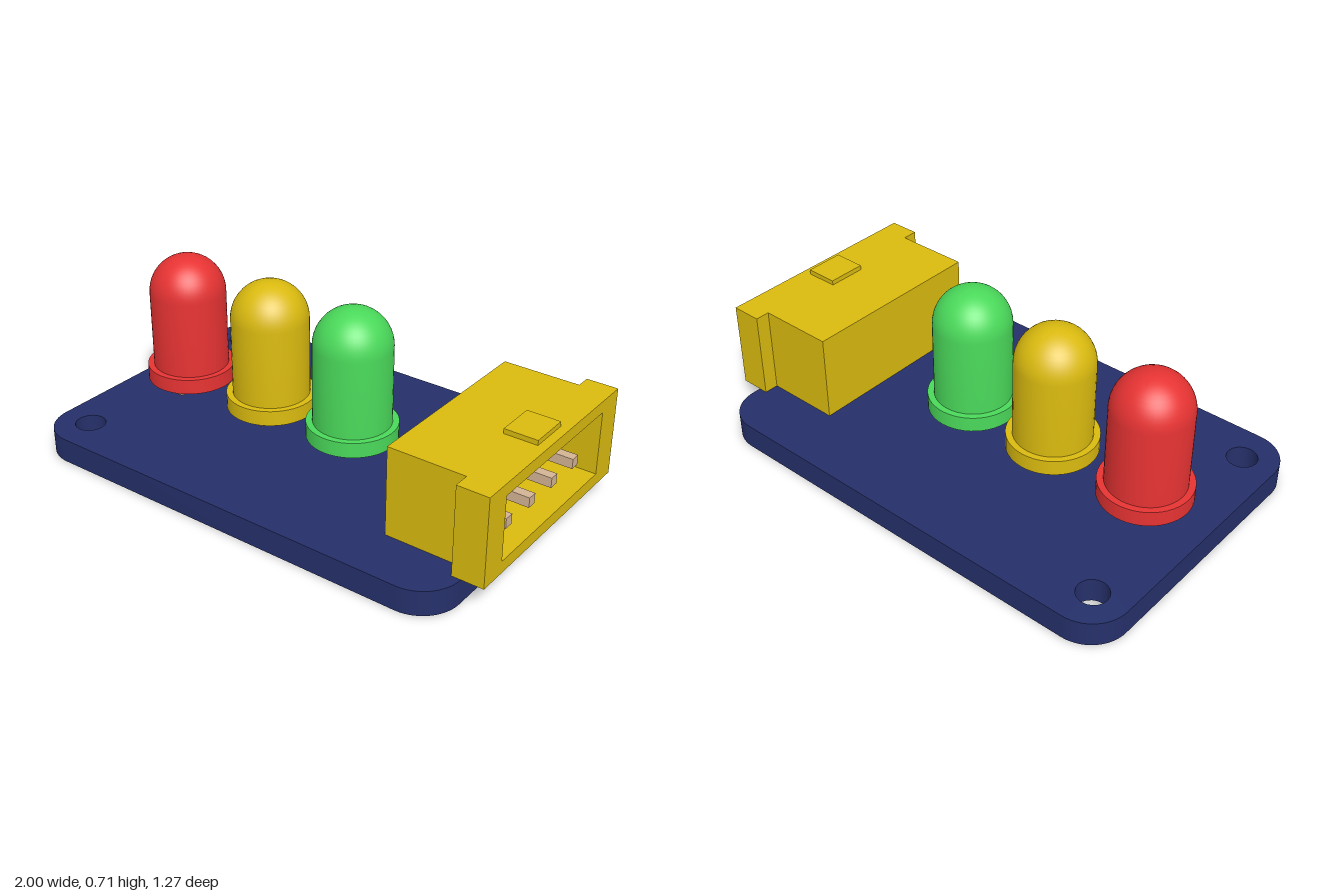
import * as THREE from 'three';
import { toCreasedNormals } from 'three/addons/utils/BufferGeometryUtils.js';

const mat = (name, color) => {
  const m = new THREE.MeshStandardMaterial({ color });
  m.name = name;
  return m;
};

// Rectangle outline, anticlockwise for shapes and reused for holes
function rect(PathType, x0, x1, y0, y1) {
  const p = new PathType();
  p.moveTo(x0, y0);
  p.lineTo(x1, y0);
  p.lineTo(x1, y1);
  p.lineTo(x0, y1);
  p.closePath();
  return p;
}

export function createModel() {
  const model = new THREE.Group();
  const navy = mat('navy board', 0x25306a);
  const yellow = mat('yellow plastic', 0xdaba0f);
  const red = mat('red lens', 0xe83333);
  const green = mat('green lens', 0x4ad95a);
  const metal = mat('tan metal', 0xd4b494);

  const add = (parent, name, geometry, material) => {
    const mesh = new THREE.Mesh(geometry, material);
    mesh.name = name;
    parent.add(mesh);
    return mesh;
  };
  // Box given by its limits on each axis
  const box = (parent, name, material, x0, x1, y0, y1, z0, z1) =>
    add(parent, name, new THREE.BoxGeometry(x1 - x0, y1 - y0, z1 - z0), material)
      .position.set((x0 + x1) / 2, (y0 + y1) / 2, (z0 + z1) / 2);

  // Circuit board: rounded plate with two mounting holes
  const X0 = -1, X1 = 0.91, Z = 0.637, R = 0.16, TOP = 0.102;
  const plate = new THREE.Shape();
  plate.absarc(X1 - R, Z - R, R, 0, Math.PI / 2);
  plate.absarc(X0 + R, Z - R, R, Math.PI / 2, Math.PI);
  plate.absarc(X0 + R, R - Z, R, Math.PI, Math.PI * 1.5);
  plate.absarc(X1 - R, R - Z, R, Math.PI * 1.5, Math.PI * 2);
  plate.closePath();
  for (const z of [-0.48, 0.48]) {
    const hole = new THREE.Path();
    hole.absarc(-0.854, z, 0.062, 0, Math.PI * 2, true);
    plate.holes.push(hole);
  }
  const board = new THREE.ExtrudeGeometry(plate, { depth: TOP, bevelEnabled: false, curveSegments: 10 });
  board.rotateX(-Math.PI / 2);
  add(model, 'board', toCreasedNormals(board, 0.5), navy);

  // Lamp profile: flange, straight wall, domed top
  const profile = [[0, 0.166], [0.183, 0.166], [0.183, 0.23], [0.157, 0.23]]
    .map(([r, y]) => new THREE.Vector2(r, y));
  const DOME = 12;
  for (let i = 0; i <= DOME; i++) {
    const a = (i / DOME) * Math.PI / 2;
    profile.push(new THREE.Vector2(i === DOME ? 0 : 0.157 * Math.cos(a), 0.553 + 0.157 * Math.sin(a)));
  }
  const lens = toCreasedNormals(new THREE.LatheGeometry(profile, 48), 0.6);

  for (const [name, x, material] of [['red', -0.728, red], ['yellow', -0.293, yellow], ['green', 0.112, green]]) {
    const lamp = new THREE.Group();
    lamp.name = name + 'Lamp';
    lamp.position.x = x;
    add(lamp, 'lens', lens, material);
    for (const z of [-0.07, 0.07]) {
      box(lamp, 'lampLeg', metal, -0.015, 0.015, 0.09, 0.18, z - 0.015, z + 0.015);
    }
    model.add(lamp);
  }

  // Socket: solid back, then two sleeves around the open cavity
  const socket = new THREE.Group();
  socket.name = 'socket';
  model.add(socket);
  const H = 0.465, BACK = 0.61;
  const sleeve = (name, x0, x1, z0, z1) => {
    const shape = rect(THREE.Shape, -z1, -z0, TOP, H);
    shape.holes.push(rect(THREE.Path, -0.365, 0.325, 0.152, 0.415));
    const g = new THREE.ExtrudeGeometry(shape, { depth: x1 - x0, bevelEnabled: false });
    g.rotateY(Math.PI / 2);
    add(socket, name, g, yellow).position.x = x0;
  };
  box(socket, 'socketBack', yellow, 0.555, BACK, TOP, H, -0.38, 0.412);
  sleeve('socketBody', BACK, 0.872, -0.38, 0.412);
  sleeve('socketRim', 0.872, 1, -0.44, 0.477);
  box(socket, 'socketTab', yellow, 0.827, 0.963, H - 0.01, 0.485, -0.065, 0.098);

  // Contact pins inside the socket
  for (let i = 0; i < 4; i++) {
    const z = 0.26 - i * 0.16;
    box(socket, 'contactPin', metal, BACK - 0.01, 0.96, 0.221, 0.262, z - 0.02, z + 0.02);
  }
  return model;
}
